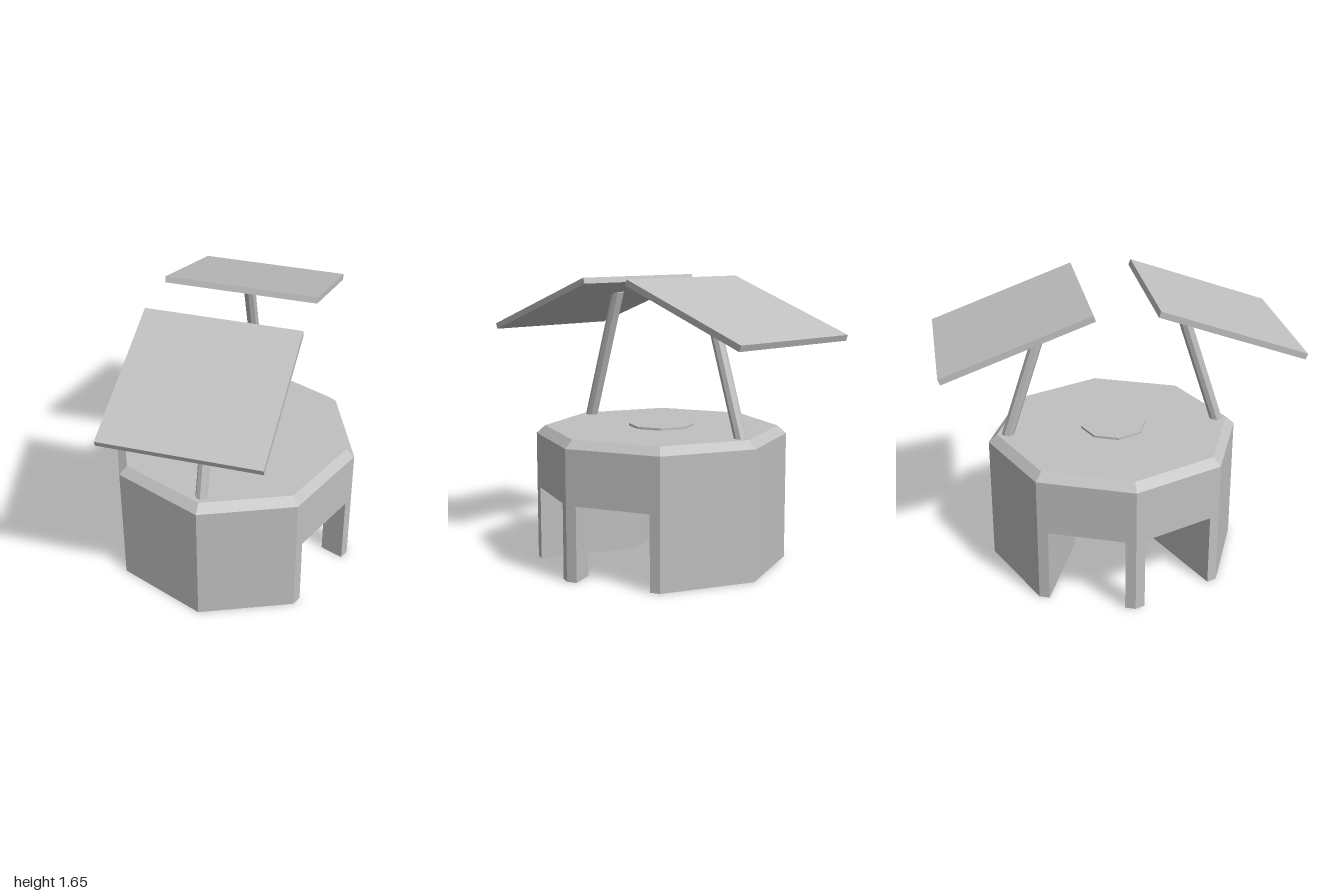
import * as THREE from 'three';
import { mergeGeometries } from 'three/addons/utils/BufferGeometryUtils.js';

const R = 0.73;            // corner radius of the octagonal body
const WALL_TOP = 0.745;
const TOP = 0.79;
const ARCH = 0.43;         // height of the openings
const STEP = Math.PI / 4;

export function createModel() {
  const grey = new THREE.MeshStandardMaterial({ color: 0xc0c0c0, flatShading: true });
  const model = new THREE.Group();

  const add = (name, geometry, parent = model) => {
    const mesh = new THREE.Mesh(geometry, grey);
    mesh.name = name;
    parent.add(mesh);
    return mesh;
  };
  const toShape = (pts) => new THREE.Shape(pts.map(([x, y]) => new THREE.Vector2(x, y)));

  // Horizontal face looking down, outlined by x, z points
  const underside = (pts, y) =>
    new THREE.ShapeGeometry(toShape(pts)).rotateX(Math.PI / 2).translate(0, y, 0);

  // Upright faces along a line of x, z points, from the ground to the arch height
  const uprights = (pts) => mergeGeometries(pts.slice(1).map(([bx, bz], i) => {
    const [ax, az] = pts[i];
    const dx = bx - ax, dz = bz - az;
    return new THREE.PlaneGeometry(Math.hypot(dx, dz), ARCH)
      .rotateY(Math.atan2(-dz, dx))
      .translate((ax + bx) / 2, ARCH / 2, (az + bz) / 2);
  }));

  // Outer walls: four plain, four with an opening
  const half = R * Math.sin(STEP / 2), apothem = R * Math.cos(STEP / 2);
  const gap = half - 0.06;
  const plain = [[-half, 0], [half, 0], [half, WALL_TOP], [-half, WALL_TOP]];
  const arched = [[-half, 0], [-gap, 0], [-gap, ARCH], [gap, ARCH], [gap, 0],
    [half, 0], [half, WALL_TOP], [-half, WALL_TOP]];
  for (let i = 0; i < 8; i++) {
    const open = [1, 2, 5, 6].includes(i);
    const g = new THREE.ShapeGeometry(toShape(open ? arched : plain));
    g.translate(0, 0, apothem).rotateY((i + 0.5) * STEP);
    add(open ? 'archedWall' : 'plainWall', g);
  }

  // Bevelled roof
  const roof = [[R, WALL_TOP], [0.68, TOP], [0, TOP]].map(([r, y]) => new THREE.Vector2(r, y));
  add('roof', new THREE.LatheGeometry(roof, 8));

  // Round hatch on the roof
  add('hatch', new THREE.CylinderGeometry(0.19, 0.19, 0.023, 8).translate(0, TOP + 0.0015, 0));

  // Points where the crossing passages cut the body
  const d = R * Math.SQRT1_2;
  const outer = [0.539, 0.461], inner = [0, 0.237];
  const legSide = [0.707, 0.055], legInner = [0.574, 0];
  const flip = ([x, z]) => [-x, z];
  const back = ([x, z]) => [x, -z];

  // Ceiling of the passages
  const rightEdge = [inner, outer, legSide, legInner, back(legSide), back(outer)];
  add('passageCeiling', underside([...rightEdge, ...rightEdge.map(([x, z]) => [-x, -z])], ARCH));

  // Front and back blocks, left and right legs
  for (const turn of [0, Math.PI]) {
    const block = mergeGeometries([
      uprights([outer, inner, flip(outer)]),
      underside([[0, R], [d, d], outer, inner, flip(outer), [-d, d]], 0),
    ]);
    add(turn ? 'backBlock' : 'frontBlock', block.rotateY(turn));

    const leg = mergeGeometries([
      uprights([back(legSide), legInner, legSide]),
      underside([[R, 0], legSide, legInner, back(legSide)], 0),
    ]);
    add(turn ? 'rightLeg' : 'leftLeg', leg.rotateY(turn));
  }

  // Tilted panels on slanted poles
  for (const turn of [0, Math.PI]) {
    const unit = new THREE.Group();
    unit.name = turn ? 'backPanelUnit' : 'frontPanelUnit';
    unit.rotation.y = turn;

    const foot = new THREE.Vector3(0, 0.78, 0.62), head = new THREE.Vector3(0, 1.56, 0.367);
    const pole = add('pole', new THREE.CylinderGeometry(0.035, 0.035, foot.distanceTo(head), 8), unit);
    pole.position.copy(foot).lerp(head, 0.5);
    pole.rotation.x = Math.atan2(head.z - foot.z, head.y - foot.y);

    const panel = add('panel', new THREE.BoxGeometry(0.872, 0.035, 0.874), unit);
    panel.position.set(0, 1.488, 0.583);
    panel.rotation.x = THREE.MathUtils.degToRad(20);
    model.add(unit);
  }
  return model;
}
